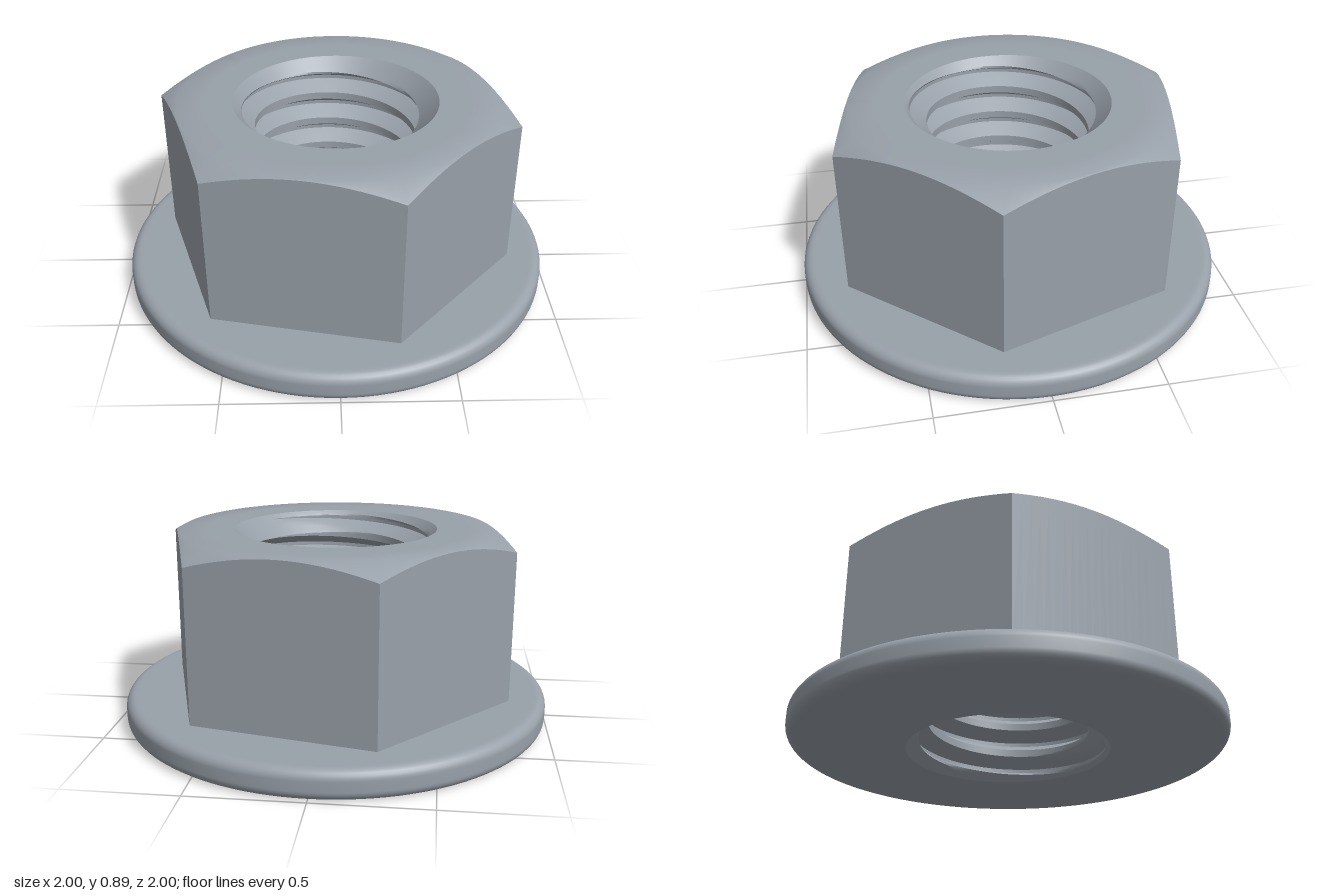
import * as THREE from 'three';
import { toCreasedNormals } from 'three/addons/utils/BufferGeometryUtils.js';

const HEIGHT = 0.895, FLANGE_H = 0.135, FILLET = 0.045;
const APOTHEM = 0.726, FLAT_R = 0.72;          // hex half width, flat top radius
const MINOR = 0.372, MAJOR = 0.447, PITCH = 0.14, MOUTH = 0.467;
const COLS = 120, START = -Math.PI / 15;       // first hex corner at 12 degrees

const angle = (j) => START + (j / COLS) * Math.PI * 2;
const at = (r, y, a) => new THREE.Vector3(r * Math.cos(a), y, -r * Math.sin(a));

// Surface swept around the axis: point(i, a) gives row i at angle a
function sweep(rows, point, crease) {
  const pos = [];
  const tri = (a, b, c) => {
    const n = b.clone().sub(a).cross(c.clone().sub(a));
    if (n.length() > 1e-9) for (const v of [a, b, c]) pos.push(v.x, v.y, v.z);
  };
  for (let i = 0; i < rows; i++) {
    for (let j = 0; j < COLS; j++) {
      const a = point(i, angle(j)), b = point(i, angle(j + 1));
      const c = point(i + 1, angle(j + 1)), d = point(i + 1, angle(j));
      tri(a, b, c);
      tri(a, c, d);
    }
  }
  const geo = new THREE.BufferGeometry();
  geo.setAttribute('position', new THREE.Float32BufferAttribute(pos, 3));
  geo.computeVertexNormals();
  return toCreasedNormals(geo, crease);
}

// Hexagon radius at an angle, and the edge where the conical bevel cuts it
function hexRadius(a) {
  const sector = Math.PI / 3;
  const t = (((a - START) % sector) + sector) % sector;
  return APOTHEM / Math.cos(t - sector / 2);
}
const bevelY = (r) => HEIGHT - Math.max(0, r - FLAT_R) * 0.555;

// Bore radius from the helical groove profile (offset from groove centre)
function threadRadius(offset) {
  const t = (Math.abs(offset) / PITCH - 1 / 16) / (3 / 8 - 1 / 16);
  return MAJOR - (MAJOR - MINOR) * THREE.MathUtils.clamp(t, 0, 1);
}

export function createModel() {
  const steel = new THREE.MeshStandardMaterial({ color: 0x98a0a9 });
  steel.name = 'steel grey';
  const nut = new THREE.Group();
  nut.name = 'flangedHexNut';
  const add = (name, geo) => {
    const mesh = new THREE.Mesh(geo, steel);
    mesh.name = name;
    nut.add(mesh);
  };

  // Round flange with filleted rim
  const profile = [new THREE.Vector2(MOUTH, 0), new THREE.Vector2(0.94, 0)];
  const corner = (cy, from) => {
    for (let k = 0; k <= 6; k++) {
      const t = from + (k / 6) * Math.PI / 2;
      profile.push(new THREE.Vector2(1 - FILLET + FILLET * Math.cos(t), cy + FILLET * Math.sin(t)));
    }
  };
  corner(FILLET, -Math.PI / 2);
  corner(FLANGE_H - FILLET, 0);
  profile.push(new THREE.Vector2(0.94, FLANGE_H), new THREE.Vector2(0.68, FLANGE_H));
  add('flange', new THREE.LatheGeometry(profile, COLS));

  // Six flat sides with arched upper edges
  add('hexSides', sweep(1, (i, a) => {
    const r = hexRadius(a);
    return at(r, i ? bevelY(r) : FLANGE_H - 0.01, a);
  }, 0.3));

  // Bevelled top face
  add('topFace', sweep(3, (i, a) => {
    if (i === 0) return at(hexRadius(a), bevelY(hexRadius(a)), a);
    return at([0, FLAT_R, 0.6, MOUTH][i], HEIGHT, a);
  }, 0.7));

  // Right-handed threaded bore with a chamfered mouth at both ends
  const stops = [];
  const knots = [-0.5, -3 / 8, -1 / 16, 1 / 16, 3 / 8, 0.5];
  for (let turn = 7; turn >= -1; turn--) {
    for (let k = knots.length - 1; k > 0; k--) {
      for (let s = 0; s < 4; s++) {
        const f = THREE.MathUtils.lerp(knots[k], knots[k - 1], s / 4) * PITCH;
        stops.push({ f, y: turn * PITCH + f });
      }
    }
  }
  const phase = 0.7915 - 5 * PITCH - PITCH / 4;
  add('threadedBore', sweep(stops.length - 1, (i, a) => {
    const { f, y: base } = stops[i];
    const raw = base + phase + (a / (Math.PI * 2)) * PITCH;
    const y = THREE.MathUtils.clamp(raw, 0, HEIGHT);
    const thread = threadRadius(y === raw ? f : PITCH / 2);
    return at(Math.max(thread, MOUTH - y, MOUTH - (HEIGHT - y)), y, a);
  }, 0.5));

  return nut;
}
